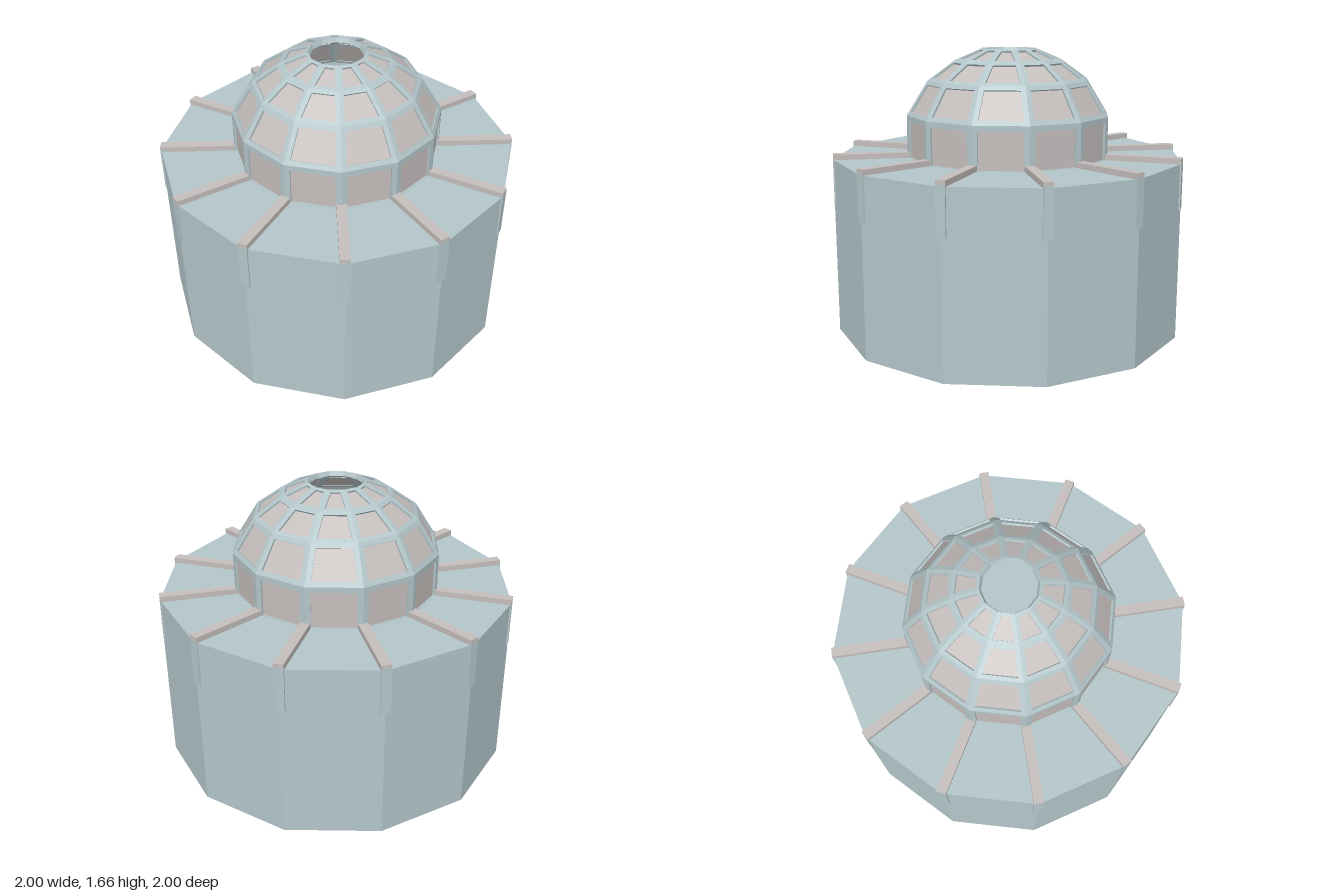
import * as THREE from 'three';

const SIDES = 12;
const STEP = (Math.PI * 2) / SIDES;
const HALF = STEP / 2;
const DRUM_R = 1.028;
const DRUM_H = 1.03;

const blue = new THREE.MeshStandardMaterial({ color: 0xb4c6ca, flatShading: true });
const grey = new THREE.MeshStandardMaterial({ color: 0xc4bebc, flatShading: true });

function add(parent, name, geometry, material, x = 0, y = 0, z = 0) {
  const mesh = new THREE.Mesh(geometry, material);
  mesh.name = name;
  mesh.position.set(x, y, z);
  parent.add(mesh);
  return mesh;
}

// Corners of a trapezoid standing on y = 0, moved inwards by `inset`
function trapezoid(b0, b1, h, inset) {
  const slope = (b1 - b0) / h;
  const side = inset * Math.hypot(1, slope);
  const half = (s) => b0 + slope * s - side;
  const lo = inset, hi = h - inset;
  return [
    new THREE.Vector2(-half(lo), lo), new THREE.Vector2(half(lo), lo),
    new THREE.Vector2(half(hi), hi), new THREE.Vector2(-half(hi), hi),
  ];
}

// A slab whose outer face lies at z = top and which goes inwards by depth
function slab(shape, depth, top) {
  return new THREE.ExtrudeGeometry(shape, { depth, bevelEnabled: false }).translate(0, 0, top - depth);
}

function createDome() {
  const dome = new THREE.Group();
  dome.name = 'dome';
  // corner radius, height and bar half width of each tier
  const profile = [
    [0.60, 1.0, 0.032], [0.60, 1.275, 0.028], [0.475, 1.475, 0.024],
    [0.315, 1.59, 0.02], [0.16, 1.655, 0.02],
  ];
  for (let t = 0; t < profile.length - 1; t++) {
    const [r0, y0, w] = profile[t];
    const [r1, y1] = profile[t + 1];
    const a0 = r0 * Math.cos(HALF), a1 = r1 * Math.cos(HALF);
    const b0 = r0 * Math.sin(HALF), b1 = r1 * Math.sin(HALF);
    const h = Math.hypot(a1 - a0, y1 - y0);

    const frame = new THREE.Shape(trapezoid(b0, b1, h, 0));
    frame.holes.push(new THREE.Path(trapezoid(b0, b1, h, w)));
    const frameGeo = slab(frame, 0.028, 0);
    const panelGeo = slab(new THREE.Shape(trapezoid(b0, b1, h, w * 0.7)), 0.012, -0.012);

    for (let i = 0; i < SIDES; i++) {
      const sector = new THREE.Group();
      sector.name = 'domeSector';
      sector.rotation.y = i * STEP;
      const face = new THREE.Group();
      face.name = 'domeFace';
      face.position.set(0, y0, a0);
      face.rotation.x = Math.asin((a1 - a0) / h);
      add(face, 'domeFrame', frameGeo, blue);
      add(face, 'domePanel', panelGeo, grey);
      sector.add(face);
      dome.add(sector);
    }
  }
  return dome;
}

export function createModel() {
  const model = new THREE.Group();
  model.name = 'domedDrum';

  // Twelve-sided base
  add(model, 'drum', new THREE.CylinderGeometry(DRUM_R, DRUM_R, DRUM_H, SIDES, 1, false, HALF),
    blue, 0, DRUM_H / 2, 0);

  // Roof ribs that fold over the corners into short legs, with small feet below
  const ribGeo = new THREE.BoxGeometry(0.056, 0.04, DRUM_R - 0.56);
  const legGeo = new THREE.BoxGeometry(0.056, 0.27, 0.04);
  const footGeo = new THREE.BoxGeometry(0.04, 0.02, 0.012);
  for (let i = 0; i < SIDES; i++) {
    const corner = new THREE.Group();
    corner.name = 'cornerRib';
    corner.rotation.y = HALF + i * STEP;
    add(corner, 'roofRib', ribGeo, grey, 0, 1.042, (DRUM_R + 0.56) / 2);
    add(corner, 'ribLeg', legGeo, blue, 0, 0.905, DRUM_R - 0.019);
    add(corner, 'foot', footGeo, grey, 0, 0.007, 0.78);
    model.add(corner);
  }

  model.add(createDome());
  return model;
}
